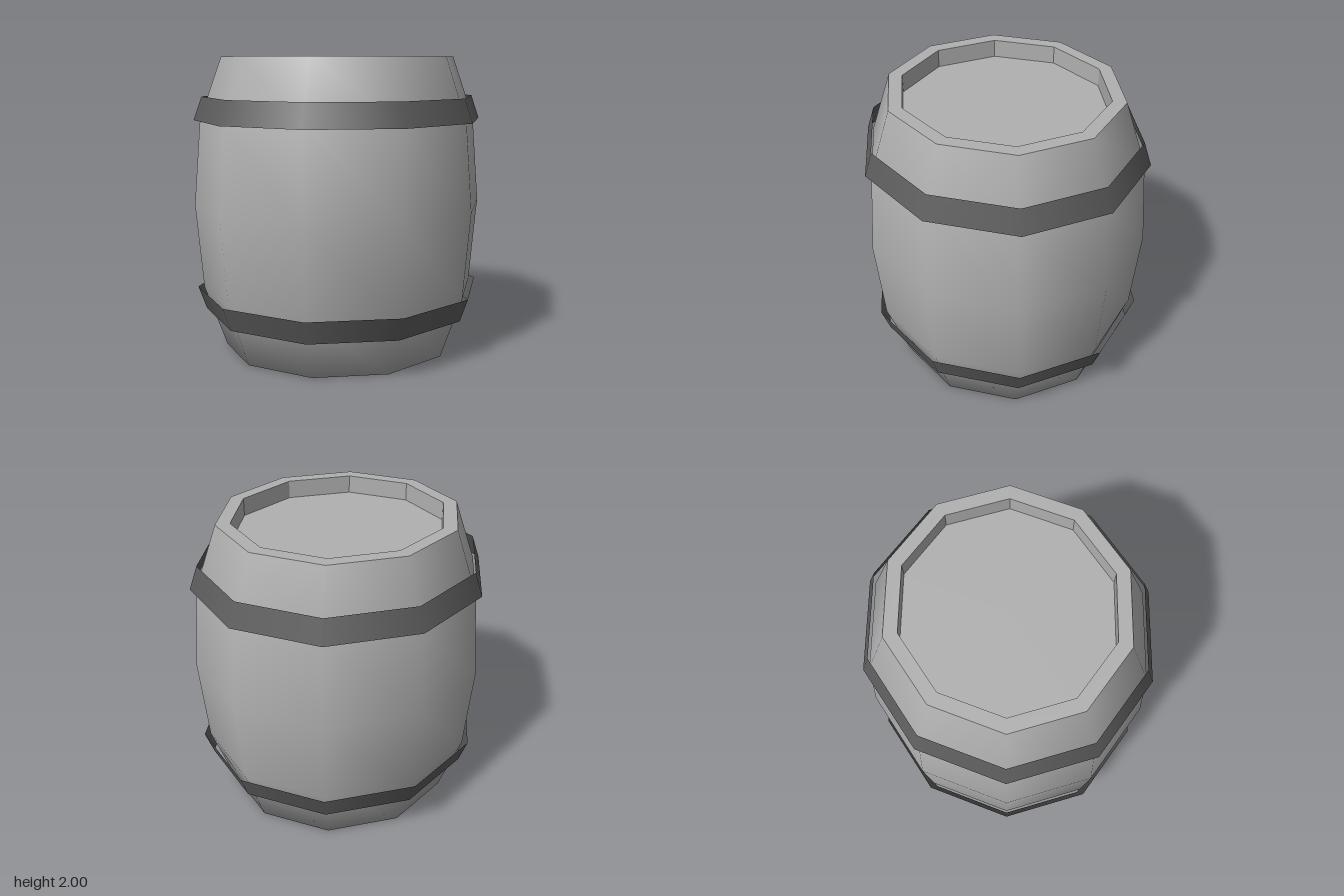
import * as THREE from 'three';

const SIDES = 10;
// widens x so the flat sides reach as far out as the corners on z
const WIDEN = 1 / Math.cos(Math.PI / SIDES);

const wood = new THREE.MeshStandardMaterial({ color: 0xb0b0b0 });
wood.name = 'wood grey';
const iron = new THREE.MeshStandardMaterial({ color: 0x5c5c5c, side: THREE.DoubleSide });
iron.name = 'iron dark grey';

// ten-sided turned part from [radius, height] pairs
function turned(name, profile, material, faceted = false) {
  const points = profile.map(([r, y]) => new THREE.Vector2(r, y));
  let geometry = new THREE.LatheGeometry(points, SIDES);
  geometry.scale(WIDEN, 1, 1);
  if (faceted) {
    geometry = geometry.toNonIndexed();
    geometry.computeVertexNormals();
  }
  const mesh = new THREE.Mesh(geometry, material);
  mesh.name = name;
  return mesh;
}

export function createModel() {
  const barrel = new THREE.Group();
  barrel.name = 'barrel';

  // bulging staves, closed underneath
  barrel.add(turned('staves', [
    [0, 0], [0.76, 0], [0.903, 0.42], [0.95, 1], [0.903, 1.58], [0.76, 2],
  ], wood));

  // flat rim, inner wall and sunken lid
  barrel.add(turned('rim', [[0.76, 2], [0.67, 2]], wood, true));
  barrel.add(turned('innerWall', [[0.67, 2], [0.67, 1.88]], wood, true));
  barrel.add(turned('lid', [[0.67, 1.88], [0, 1.88]], wood, true));

  // thin open hoops standing slightly off the staves
  barrel.add(turned('lowerHoop', [[0.89, 0.265], [0.943, 0.422]], iron));
  barrel.add(turned('upperHoop', [[0.943, 1.578], [0.89, 1.735]], iron));

  return barrel;
}
